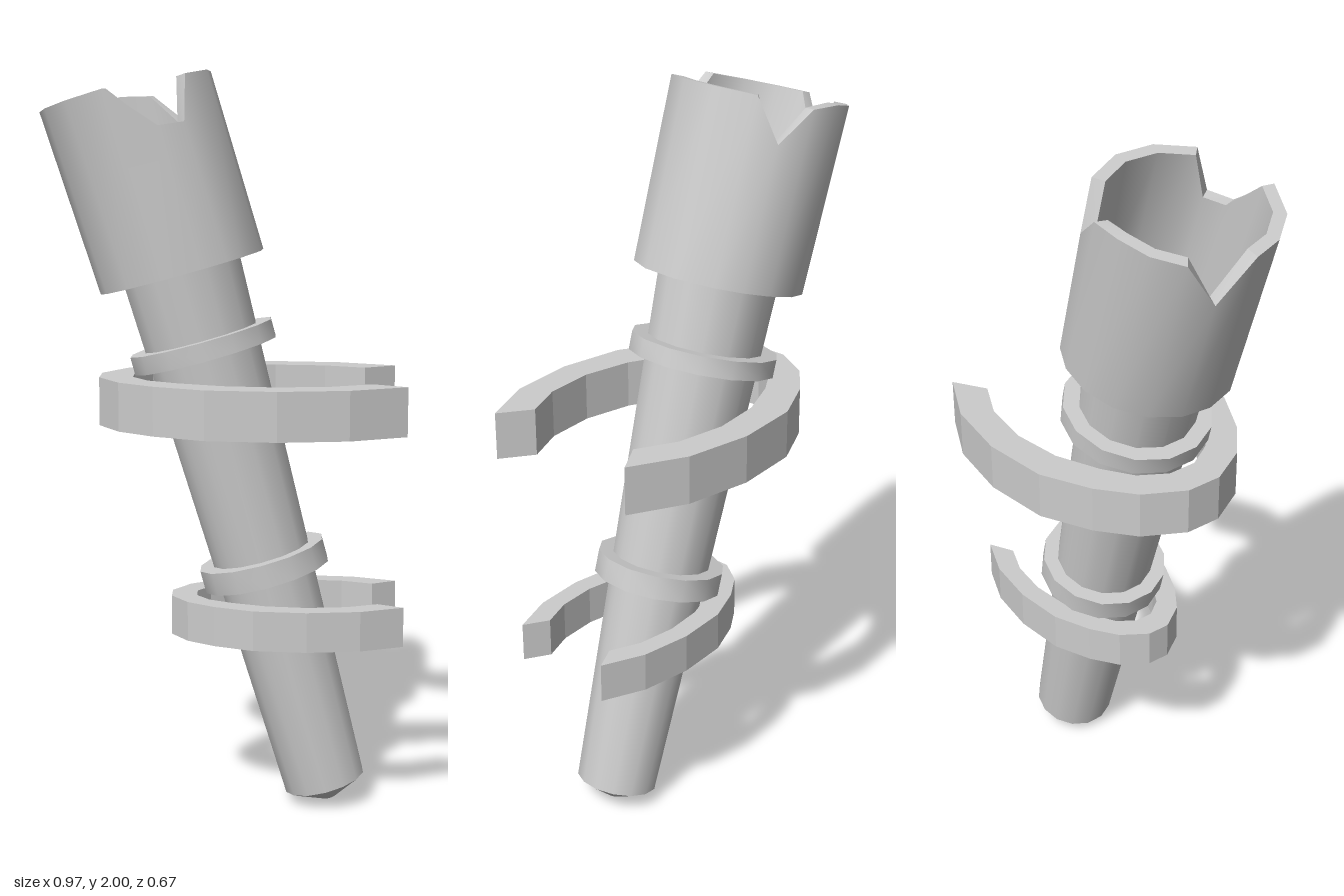
import * as THREE from 'three';
import { toCreasedNormals } from 'three/addons/utils/BufferGeometryUtils.js';

const SIDES = 14;
const material = new THREE.MeshStandardMaterial({ color: 0xcccccc });

function addMesh(parent, name, geometry) {
  const mesh = new THREE.Mesh(geometry, material);
  mesh.name = name;
  parent.add(mesh);
  return mesh;
}

function lathe(profile) {
  const points = profile.map(([r, y]) => new THREE.Vector2(r, y));
  return toCreasedNormals(new THREE.LatheGeometry(points, SIDES), 0.6);
}

// Hollow cup with a notched rim, lofted through rings around its axis
function cupGeometry() {
  // Rim: angle in degrees and height; the low points are the three notches
  const rim = [
    [44, 0.49], [17, 0.49], [-10, 0.49], [-38, 0.49], [-57, 0.38], [-76, 0.48],
    [-98, 0.5], [-120, 0.5], [-142, 0.5], [-164, 0.38], [-185, 0.505],
    [-207, 0.505], [-232, 0.505], [-260, 0.505], [-286, 0.38], [-304, 0.373],
  ];
  // Radius and height of each ring; null follows the rim
  const rings = [[0.14, 0], [0.228, 0], [0.234, null], [0.2, null], [0.19, 0.11], [0, 0.11]];
  const lean = 0.035;
  const n = rim.length;
  const positions = [];
  const index = [];
  for (const [r, h] of rings) {
    for (const [deg, top] of rim) {
      const a = THREE.MathUtils.degToRad(deg);
      const y = h ?? top;
      positions.push(r * Math.cos(a) - lean * y, y, r * Math.sin(a));
    }
  }
  for (let k = 0; k < rings.length - 1; k++) {
    for (let i = 0; i < n; i++) {
      const j = (i + 1) % n;
      const a = k * n + i, b = k * n + j, c = b + n, d = a + n;
      index.push(a, b, c);
      if (k < rings.length - 2) index.push(a, c, d);
    }
  }
  const geometry = new THREE.BufferGeometry();
  geometry.setAttribute('position', new THREE.Float32BufferAttribute(positions, 3));
  geometry.setIndex(index);
  return toCreasedNormals(geometry, 0.6);
}

// Open C-shaped bracket, mirrored across its long axis and extruded upward
function bracketGeometry() {
  const outer = [[-0.405, 0.05], [-0.345, 0.16], [-0.25, 0.24], [-0.115, 0.31], [0.07, 0.333], [0.255, 0.308], [0.408, 0.235]];
  const inner = [[0.32, 0.178], [0.21, 0.23], [0.07, 0.247], [-0.07, 0.225], [-0.19, 0.17], [-0.27, 0.115], [-0.315, 0.04]];
  const half = [...outer, ...inner];
  const mirror = (list) => list.map(([x, z]) => [x, -z]).reverse();
  const outline = [...outer, ...inner, ...mirror(inner), ...mirror(outer)];
  const shape = new THREE.Shape(outline.map(([x, z]) => new THREE.Vector2(x, z)));
  const geometry = new THREE.ExtrudeGeometry(shape, { depth: 0.13, bevelEnabled: false });
  return geometry.rotateX(-Math.PI / 2);
}

export function createModel() {
  const model = new THREE.Group();
  model.name = 'wallTorch';

  // Tilted torch body
  const torch = new THREE.Group();
  torch.name = 'torch';
  torch.position.set(0.28, 0.055, 0.016);
  torch.rotation.set(-0.016, 0, THREE.MathUtils.degToRad(15.5));
  model.add(torch);

  addMesh(torch, 'shaft', lathe([[0, -0.05], [0.02, -0.05], [0.113, 0], [0.164, 1.5], [0, 1.5]]));

  // Raised collars
  for (const [name, r, y, h] of [['lowerCollar', 0.176, 0.639, 0.063], ['upperCollar', 0.2, 1.26, 0.05]]) {
    const collar = lathe([[0.1, -h / 2], [r, -h / 2], [r, h / 2], [0.1, h / 2]]);
    addMesh(torch, name, collar).position.y = y;
  }

  addMesh(torch, 'notchedCup', cupGeometry()).position.y = 1.468;

  // Level brackets holding the shaft
  addMesh(model, 'upperBracket', bracketGeometry()).position.set(0.07, 1.06, 0);
  const lower = addMesh(model, 'lowerBracket', bracketGeometry());
  lower.position.set(0.168, 0.48, 0.012);
  lower.scale.set(0.767, 0.83, 0.64);

  return model;
}
